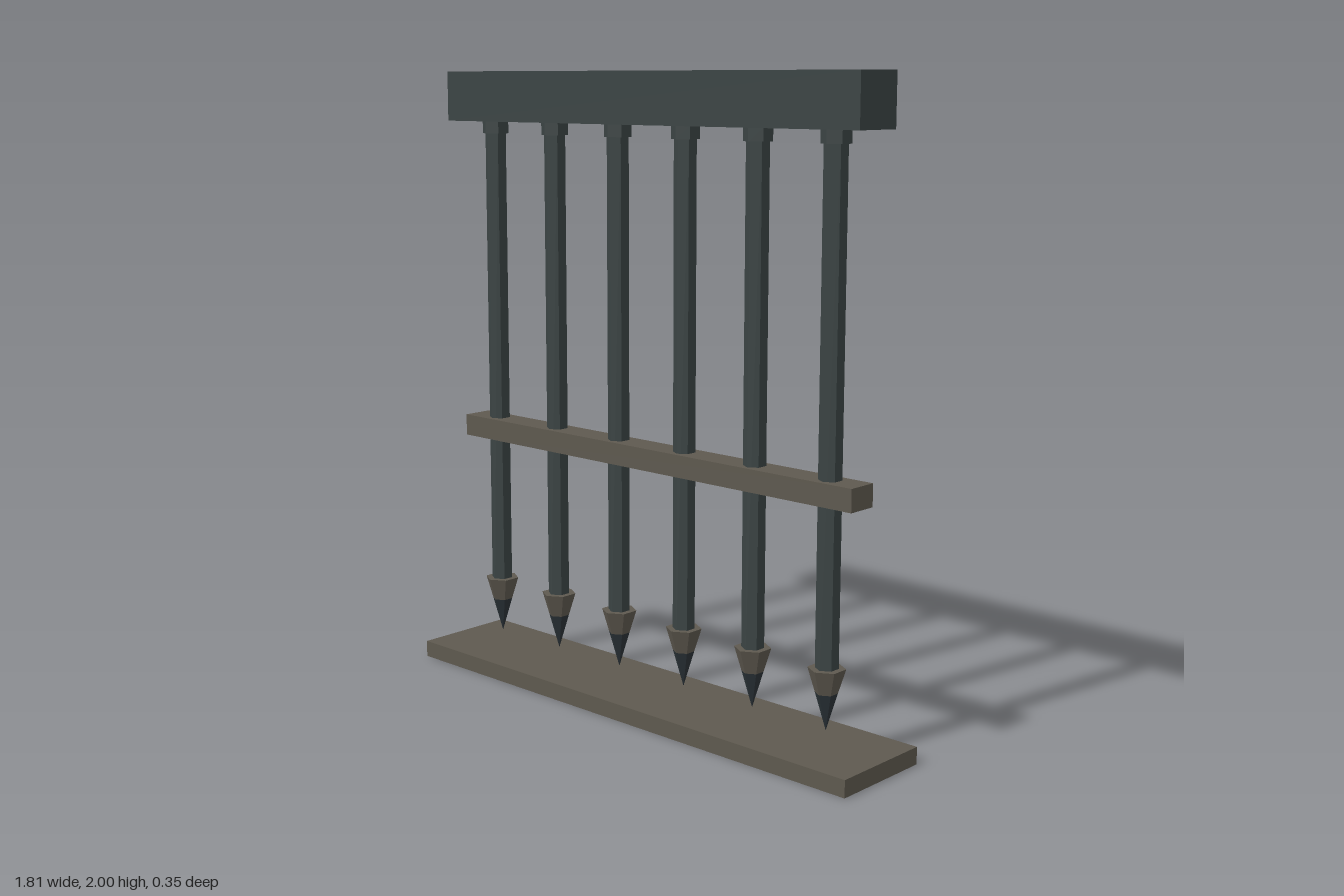
import * as THREE from 'three';

export function createModel() {
  const group = new THREE.Group();
  group.name = 'portcullis';

  const material = (name, color) => {
    const m = new THREE.MeshStandardMaterial({ color, flatShading: true });
    m.name = name;
    return m;
  };
  const iron = material('dark iron', 0x3b4444);
  const bronze = material('weathered brown', 0x5e594f);
  const steel = material('dark steel', 0x2b3338);

  const add = (parent, name, geometry, mat, x, y) => {
    const mesh = new THREE.Mesh(geometry, mat);
    mesh.name = name;
    mesh.position.set(x, y, 0);
    parent.add(mesh);
  };

  // Horizontal members
  add(group, 'topBeam', new THREE.BoxGeometry(1.69, 0.16, 0.164), iron, 0, 1.92);
  add(group, 'crossRail', new THREE.BoxGeometry(1.636, 0.07, 0.1), bronze, 0, 0.815);
  add(group, 'threshold', new THREE.BoxGeometry(1.814, 0.054, 0.346), bronze, 0, 0.027);

  // Hexagonal parts shared by every bar, with a corner facing the front
  const hex = (top, bottom, height) => new THREE.CylinderGeometry(top, bottom, height, 6);
  const collar = hex(0.044, 0.044, 0.04);
  const shaft = hex(0.035, 0.035, 1.63);
  const socket = hex(0.057, 0.034, 0.075);
  const tip = new THREE.ConeGeometry(0.034, 0.115, 6).rotateX(Math.PI);

  for (let i = 0; i < 6; i++) {
    const bar = new THREE.Group();
    bar.name = `bar${i + 1}`;
    bar.position.x = (i - 2.5) * 0.2815;
    add(bar, 'collar', collar, iron, 0, 1.82);
    add(bar, 'shaft', shaft, iron, 0, 1.035);
    add(bar, 'spearSocket', socket, bronze, 0, 0.2525);
    add(bar, 'spearTip', tip, steel, 0, 0.1575);
    group.add(bar);
  }
  return group;
}
